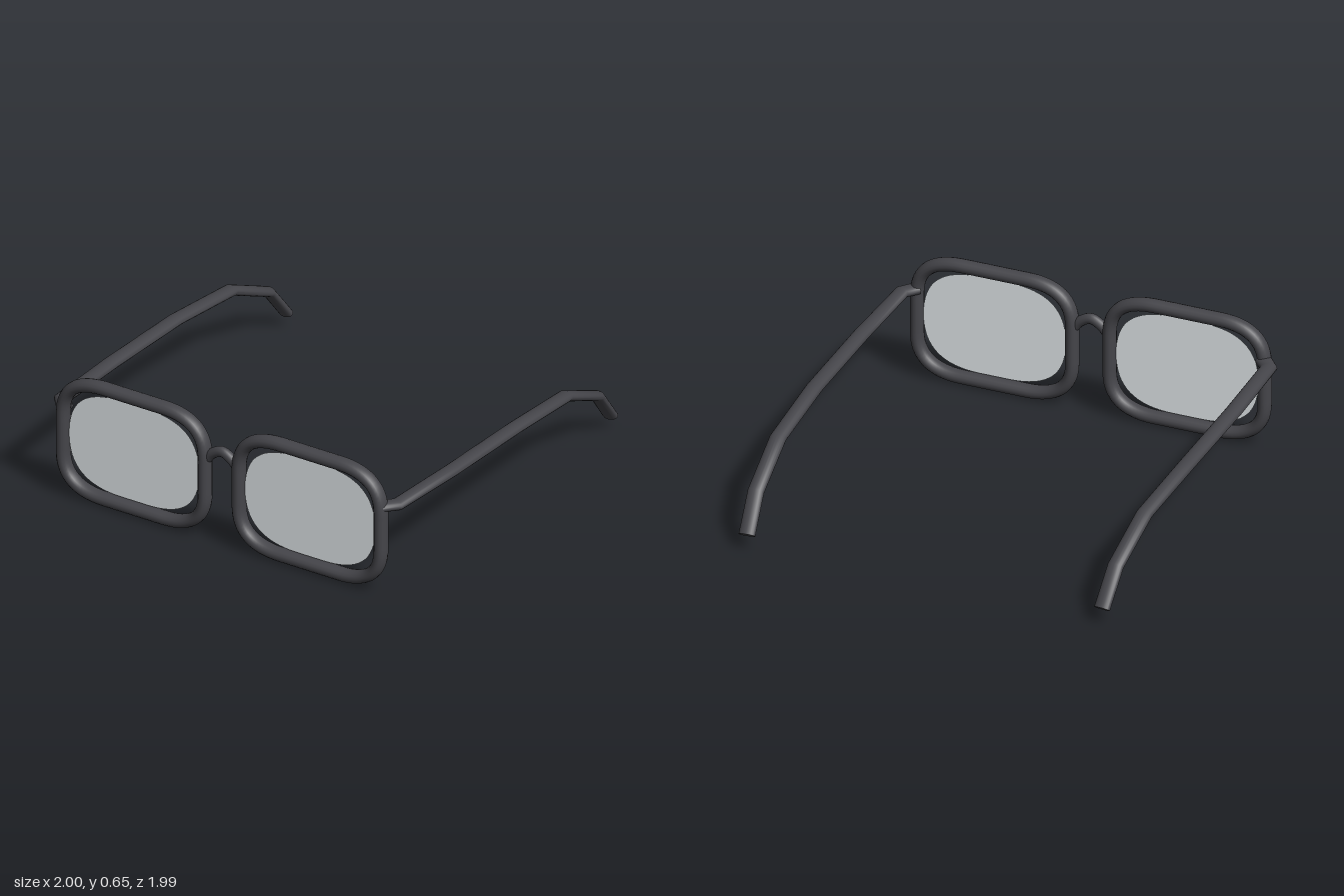
import * as THREE from 'three';
import { toCreasedNormals } from 'three/addons/utils/BufferGeometryUtils.js';

const FRONT_Z = 0.956;
const LENS_X = 0.495;
const LENS_Y = 0.328;

const frameMat = new THREE.MeshStandardMaterial({ color: 0x45454a });
const lensMat = new THREE.MeshStandardMaterial({ color: 0xeef4f7, side: THREE.DoubleSide });

// Soft rectangle: half sizes w, h and corner sizes a, b
function softRect(w, h, a, b) {
  const s = new THREE.Shape();
  s.moveTo(w, -h + b);
  s.lineTo(w, h - b);
  s.quadraticCurveTo(w, h, w - a, h);
  s.lineTo(-w + a, h);
  s.quadraticCurveTo(-w, h, -w, h - b);
  s.lineTo(-w, -h + b);
  s.quadraticCurveTo(-w, -h, -w + a, -h);
  s.lineTo(w - a, -h);
  s.quadraticCurveTo(w, -h, w, -h + b);
  return s;
}

// Capped bar with an oval section, mitred at each bend of the path
function ovalBar(path, halfWidth, halfHeight, sides = 20) {
  const up = new THREE.Vector3(0, 1, 0);
  const pos = [];
  const idx = [];
  path.forEach((p, i) => {
    const before = p.clone().sub(path[Math.max(i - 1, 0)]).normalize();
    const after = path[Math.min(i + 1, path.length - 1)].clone().sub(p).normalize();
    const dir = before.clone().add(after).normalize();
    const side = new THREE.Vector3().crossVectors(dir, up).normalize();
    const top = new THREE.Vector3().crossVectors(side, dir);
    for (let k = 0; k < sides; k++) {
      const t = (k / sides) * Math.PI * 2;
      const v = p.clone()
        .addScaledVector(side, Math.cos(t) * halfWidth)
        .addScaledVector(top, Math.sin(t) * halfHeight);
      pos.push(v.x, v.y, v.z);
      if (i > 0) {
        const k2 = (k + 1) % sides;
        const a = (i - 1) * sides + k, b = (i - 1) * sides + k2;
        const c = i * sides + k, d = i * sides + k2;
        idx.push(a, d, b, a, c, d);
      }
    }
  });
  const last = (path.length - 1) * sides;
  for (let k = 1; k < sides - 1; k++) {
    idx.push(0, k, k + 1, last, last + k + 1, last + k);
  }
  const geo = new THREE.BufferGeometry();
  geo.setAttribute('position', new THREE.Float32BufferAttribute(pos, 3));
  geo.setIndex(idx);
  return toCreasedNormals(geo, 0.9);
}

function add(group, name, geometry, material) {
  const mesh = new THREE.Mesh(geometry, material);
  mesh.name = name;
  group.add(mesh);
  return mesh;
}

export function createModel() {
  const model = new THREE.Group();
  model.name = 'eyeglasses';

  // Rim path shared by both sides
  const rimPoints = softRect(0.399, 0.295, 0.235, 0.195).getSpacedPoints(72).slice(0, -1)
    .map((p) => new THREE.Vector3(p.x, p.y, 0));
  const rimGeo = new THREE.TubeGeometry(new THREE.CatmullRomCurve3(rimPoints, true), 120, 0.0325, 14, true);
  rimGeo.scale(1, 1, 1.26);
  const lensGeo = new THREE.ShapeGeometry(softRect(0.366, 0.257, 0.29, 0.25), 16);

  for (const [label, s] of [['left', 1], ['right', -1]]) {
    add(model, label + 'Rim', rimGeo, frameMat).position.set(s * LENS_X, LENS_Y, FRONT_Z);
    add(model, label + 'Lens', lensGeo, lensMat).position.set(s * LENS_X, LENS_Y, FRONT_Z);

    // Temple arm from the hinge back to the ear hook
    const arm = [
      [0.89, 0.458, 0.95], [0.943, 0.456, 0.89], [0.957, 0.441, 0.45], [0.957, 0.421, -0.1],
      [0.942, 0.378, -0.55], [0.925, 0.24, -0.845], [0.913, 0.073, -0.977],
    ].map(([x, y, z]) => new THREE.Vector3(s * x, y, z));
    add(model, label + 'Temple', ovalBar(arm, 0.041, 0.025), frameMat);
  }

  // Arched nose bridge
  const bridgePath = new THREE.CatmullRomCurve3([
    [-0.09, 0.42], [-0.055, 0.459], [0, 0.485], [0.055, 0.459], [0.09, 0.42],
  ].map(([x, y]) => new THREE.Vector3(x, y, FRONT_Z)));
  add(model, 'bridge', new THREE.TubeGeometry(bridgePath, 24, 0.026, 12), frameMat);

  return model;
}
